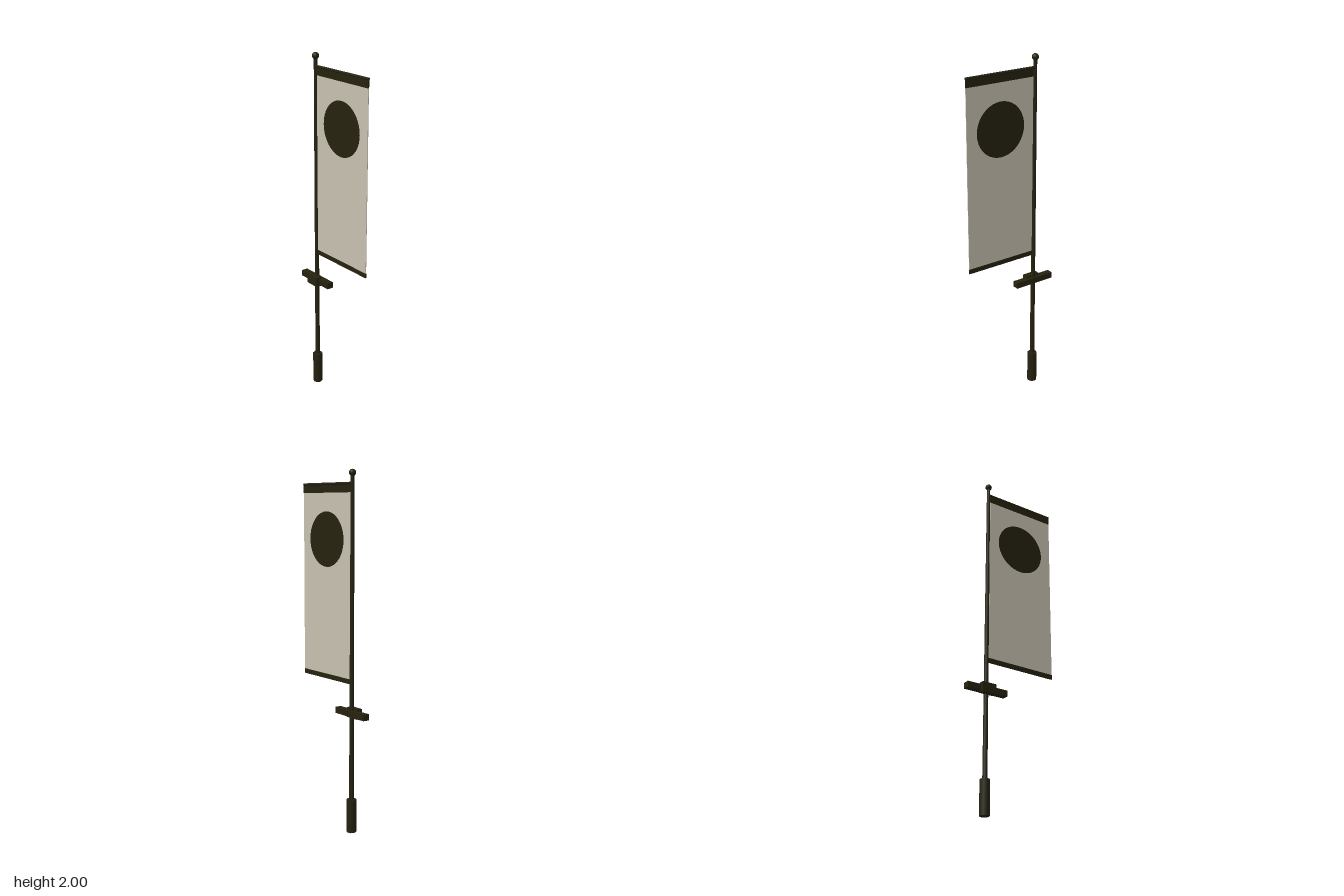
import * as THREE from 'three';

export function createModel() {
  const group = new THREE.Group();
  const dark = new THREE.MeshStandardMaterial({ color: 0x25220f });
  dark.name = 'dark lacquer';
  const linen = new THREE.MeshStandardMaterial({ color: 0xc8c0b0 });
  linen.name = 'pale cloth';

  const poleX = -0.158, axisZ = -0.006;
  const left = -0.145, right = 0.283;

  const add = (name, geometry, material, x, y, z = axisZ) => {
    const mesh = new THREE.Mesh(geometry, material);
    mesh.name = name;
    mesh.position.set(x, y, z);
    group.add(mesh);
    return mesh;
  };

  // Upright: octagonal foot, slightly tapered pole, round finial
  add('foot', new THREE.CylinderGeometry(0.028, 0.028, 0.19, 8), dark, poleX, 0.095);
  add('pole', new THREE.CylinderGeometry(0.010, 0.014, 1.9, 8), dark, poleX, 1.03);
  add('finial', new THREE.SphereGeometry(0.019, 16, 12), dark, poleX, 1.981);

  // Hand grip with its clamp block
  add('gripBar', new THREE.BoxGeometry(0.25, 0.034, 0.038), dark, poleX, 0.682);
  add('gripBlock', new THREE.BoxGeometry(0.087, 0.056, 0.036), dark, poleX, 0.682, 0.013);

  // Rod carrying the banner
  const rod = add('topRod', new THREE.CylinderGeometry(0.0075, 0.0075, right - poleX, 8), dark,
    (right + poleX) / 2, 1.926);
  rod.rotation.z = Math.PI / 2;

  // Cloth with a dark band along its top and bottom
  const width = right - left, midX = (left + right) / 2;
  add('cloth', new THREE.BoxGeometry(width, 1.01, 0.004), linen, midX, 1.375);
  add('topBand', new THREE.BoxGeometry(width, 0.042, 0.007), dark, midX, 1.9);
  add('bottomBand', new THREE.BoxGeometry(width, 0.027, 0.007), dark, midX, 0.857);

  // Round emblem on both faces
  const disc = add('emblemDisc', new THREE.CylinderGeometry(0.152, 0.152, 0.007, 40), dark, 0.068, 1.626);
  disc.rotation.x = Math.PI / 2;

  return group;
}
